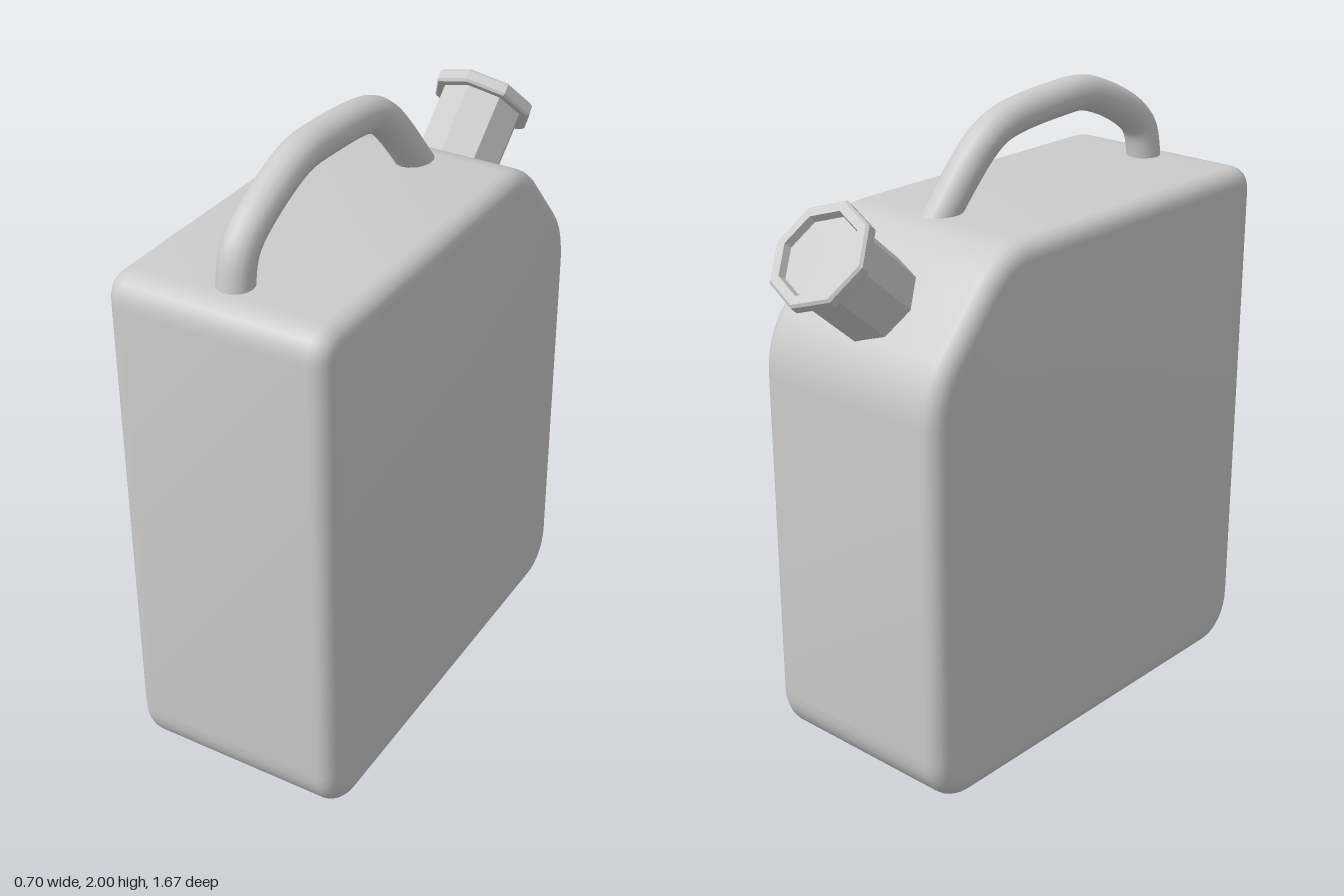
import * as THREE from 'three';
import { toCreasedNormals } from 'three/addons/utils/BufferGeometryUtils.js';

const material = (flatShading = false) => new THREE.MeshStandardMaterial({ color: 0xcccccc, flatShading });

function addPart(group, name, geometry, flat) {
  const mesh = new THREE.Mesh(geometry, material(flat));
  mesh.name = name;
  group.add(mesh);
  return mesh;
}

// Side outline (z, y) with rounded corners, extruded across x with a soft bevel
function bodyGeometry() {
  const s = new THREE.Shape();
  s.moveTo(-0.5, 0);
  s.lineTo(0.69, 0);
  s.bezierCurveTo(0.78, 0, 0.84, 0.07, 0.84, 0.16);
  s.lineTo(0.84, 1.6);
  s.quadraticCurveTo(0.84, 1.69, 0.75, 1.69);
  s.lineTo(-0.26, 1.69);
  s.quadraticCurveTo(-0.35, 1.68, -0.42, 1.61); // shoulder slope carrying the spout
  s.lineTo(-0.59, 1.42);
  s.quadraticCurveTo(-0.65, 1.34, -0.65, 1.23);
  s.lineTo(-0.65, 0.16);
  s.bezierCurveTo(-0.65, 0.07, -0.59, 0, -0.5, 0);

  const bevel = 0.055;
  const depth = 0.7 - 2 * bevel;
  const g = new THREE.ExtrudeGeometry(s, {
    depth, curveSegments: 8, bevelEnabled: true, bevelSegments: 5,
    bevelSize: bevel, bevelThickness: bevel, bevelOffset: -bevel,
  });
  g.translate(0, 0, -depth / 2);
  g.rotateY(-Math.PI / 2);
  return toCreasedNormals(g, 0.7);
}

export function createModel() {
  const model = new THREE.Group();
  model.name = 'fuelCan';

  addPart(model, 'body', bodyGeometry());

  // Handle: bent tube with both ends sunk into the top
  const path = new THREE.CatmullRomCurve3([
    [-0.01, 1.62, 0.705], [-0.01, 1.69, 0.7], [-0.008, 1.785, 0.677], [-0.004, 1.847, 0.615],
    [0, 1.94, 0.41], [0, 1.945, 0.265], [0, 1.915, 0.016], [0.005, 1.867, -0.065],
    [0.028, 1.69, -0.207], [0.034, 1.63, -0.25],
  ].map(p => new THREE.Vector3(...p)), false, 'centripetal');
  addPart(model, 'handle', new THREE.TubeGeometry(path, 48, 0.055, 16));

  // Spout: octagonal neck and recessed cap, tilted back off the shoulder
  const spout = new THREE.Group();
  spout.name = 'spout';
  spout.position.set(0, 1.505, -0.505);
  spout.rotation.x = -0.852;
  model.add(spout);

  const lathe = pts => new THREE.LatheGeometry(pts.map(p => new THREE.Vector2(...p)), 8);
  addPart(spout, 'neck', lathe([[0.135, -0.06], [0.137, 0.255]]), true);
  addPart(spout, 'cap', lathe([
    [0.13, 0.25], [0.162, 0.25], [0.168, 0.258], [0.168, 0.286], [0.16, 0.294],
    [0.132, 0.294], [0.126, 0.27], [0, 0.272],
  ]), true);

  return model;
}
